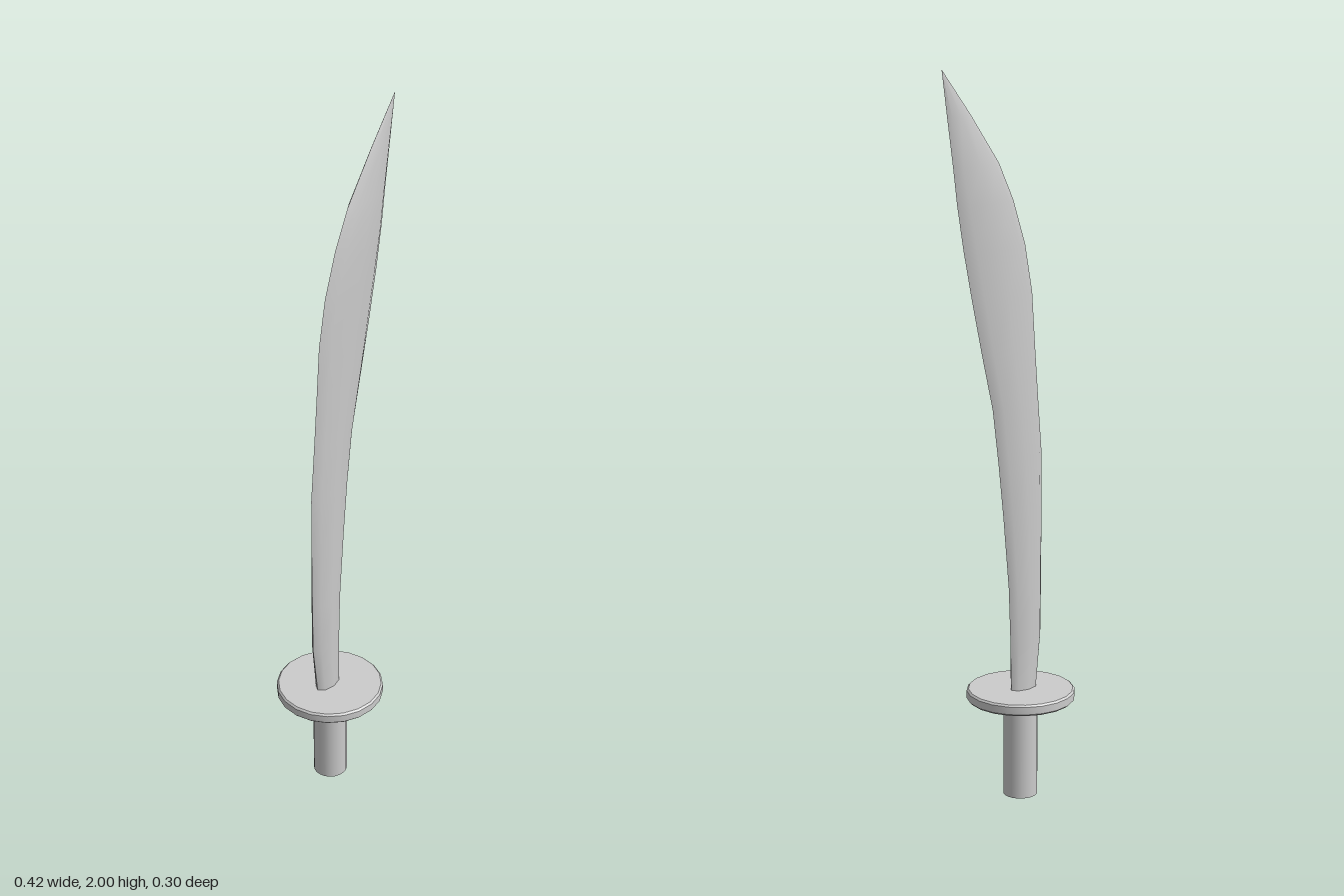
import * as THREE from 'three';
import { toCreasedNormals } from 'three/addons/utils/BufferGeometryUtils.js';

const material = new THREE.MeshStandardMaterial({ color: 0xcccccc });

// Blade stations: height, blunt edge x, cutting edge x, half thickness
const stations = [
  [0.29, -0.112, -0.028, 0.0235],
  [0.45, -0.132, -0.024, 0.0235],
  [0.60, -0.134, -0.018, 0.0235],
  [0.80, -0.135, 0.001, 0.0235],
  [0.95, -0.135, 0.018, 0.0235],
  [1.10, -0.122, 0.038, 0.0235],
  [1.25, -0.110, 0.074, 0.0235],
  [1.40, -0.099, 0.108, 0.0235],
  [1.53, -0.074, 0.135, 0.0235],
  [1.65, -0.033, 0.156, 0.0235],
  [1.75, 0.016, 0.169, 0.0190],
  [1.88, 0.110, 0.188, 0.0090],
  [2.00, 0.205, 0.205, 0.0002],
];

// One face of the blade: half of an eight-sided oval swept up the stations
function bladeFace(startAngle) {
  const steps = 4, positions = [], indices = [];
  stations.forEach(([y, left, right, thick], r) => {
    for (let c = 0; c <= steps; c++) {
      const a = startAngle - (c * Math.PI) / steps;
      positions.push(
        (left + right) / 2 + ((right - left) / 2) * Math.cos(a),
        y,
        -0.003 + thick * Math.sin(a)
      );
      if (r > 0 && c > 0) {
        const d = r * (steps + 1) + c, b = d - steps - 1;
        indices.push(b - 1, b, d, b - 1, d, d - 1);
      }
    }
  });
  const geometry = new THREE.BufferGeometry();
  geometry.setAttribute('position', new THREE.Float32BufferAttribute(positions, 3));
  geometry.setIndex(indices);
  geometry.computeVertexNormals();
  return geometry;
}

export function createModel() {
  const model = new THREE.Group();
  const add = (name, geometry, x = 0, y = 0) => {
    const mesh = new THREE.Mesh(geometry, material);
    mesh.name = name;
    mesh.position.set(x, y, 0);
    model.add(mesh);
  };

  // Plain round grip
  add('grip', new THREE.CylinderGeometry(0.047, 0.047, 0.28, 20), -0.063, 0.14);

  // Disc guard with a slightly softened rim
  const rim = [[0, 0], [0.143, 0], [0.148, 0.005], [0.148, 0.026], [0.143, 0.031], [0, 0.031]];
  const disc = new THREE.LatheGeometry(rim.map(([r, y]) => new THREE.Vector2(r, y)), 20);
  add('guard', toCreasedNormals(disc, 0.6), -0.064, 0.275);

  // Curved blade, sharp along both edges
  add('bladeFront', bladeFace(Math.PI));
  add('bladeBack', bladeFace(0));

  return model;
}
